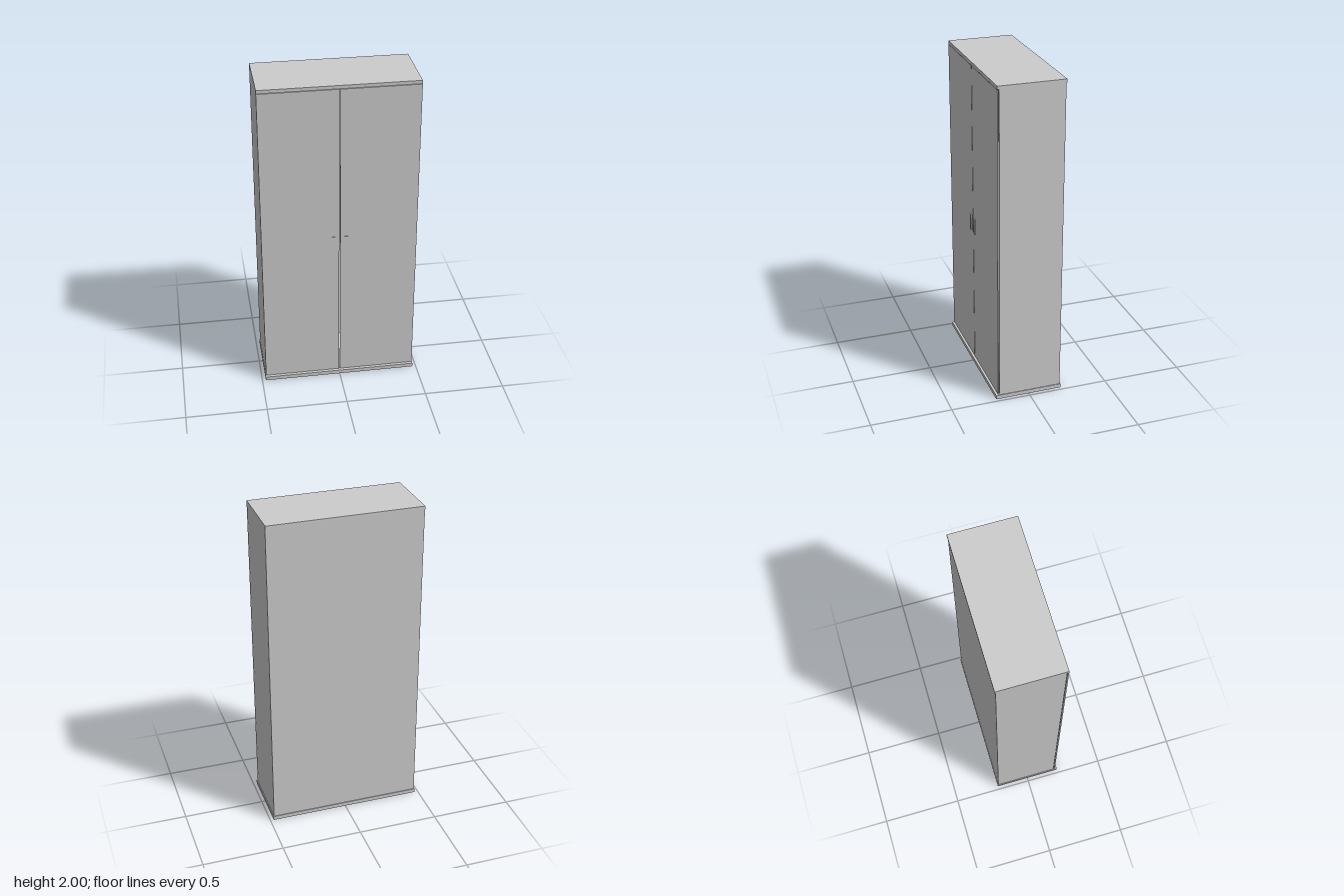
import * as THREE from 'three';

export function createModel() {
  const group = new THREE.Group();
  group.name = 'cabinet';
  const material = new THREE.MeshStandardMaterial({ color: 0xcccccc });

  // Box given by its minimum and maximum corners
  function panel(name, [x0, y0, z0], [x1, y1, z1]) {
    const mesh = new THREE.Mesh(new THREE.BoxGeometry(x1 - x0, y1 - y0, z1 - z0), material);
    mesh.position.set((x0 + x1) / 2, (y0 + y1) / 2, (z0 + z1) / 2);
    mesh.name = name;
    group.add(mesh);
  }

  const W = 0.474, base = 0.025, under = 1.98, back = -0.205, carcass = 0.187;

  // Base and top boards
  panel('base', [-0.478, 0, -0.21], [0.478, base, 0.21]);
  panel('top', [-W, under, -0.21], [W, 2, 0.198]);

  // Back of the carcass
  panel('backPanel', [-W + 0.016, base, back], [W - 0.016, under, back + 0.008]);

  // Side walls, doors and handles, mirrored
  for (const [s, side] of [[1, 'left'], [-1, 'right']]) {
    const pair = (name, a, b, y0, y1, z0, z1) =>
      panel(side + name, [Math.min(s * a, s * b), y0, z0], [Math.max(s * a, s * b), y1, z1]);
    pair('Side', W - 0.016, W, base, under, back, carcass);
    pair('Door', 0.003, W, 0.031, under - 0.003, 0.19, 0.198);
    pair('Handle', 0.029, 0.048, 0.92, 1.02, 0.198, 0.205);
  }

  return group;
}
